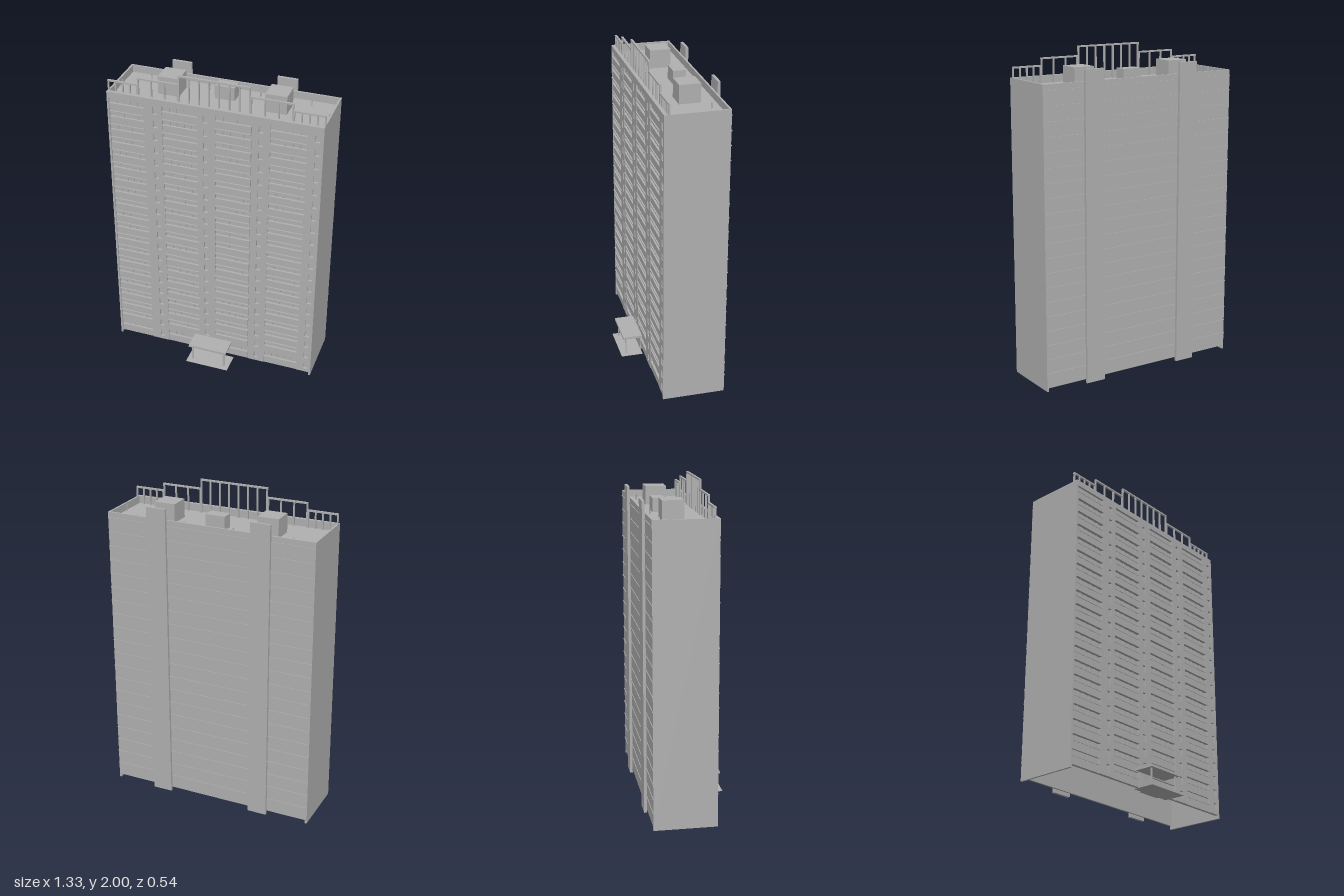
import * as THREE from 'three';

export function createModel() {
  const model = new THREE.Group();
  model.name = 'apartmentBlock';
  const concrete = new THREE.MeshStandardMaterial({ color: 0xb0b0b0 });
  concrete.name = 'concrete grey';

  // Box given by its minimum and maximum on every axis
  function box(name, x0, x1, y0, y1, z0, z1, parent = model) {
    const mesh = new THREE.Mesh(new THREE.BoxGeometry(x1 - x0, y1 - y0, z1 - z0), concrete);
    mesh.position.set((x0 + x1) / 2, (y0 + y1) / 2, (z0 + z1) / 2);
    mesh.name = name;
    parent.add(mesh);
    return mesh;
  }
  function group(name) {
    const g = new THREE.Group();
    g.name = name;
    model.add(g);
    return g;
  }

  const W = 0.665, BACK = -0.253, WALL = 0.118, FRONT = 0.132;
  const BASE = 0.022, TOP = 1.835, ROOF = 1.79, FLOORS = 20, STEP = 0.0888;

  // Hollow shell, open underneath, with a parapet around the sunken roof
  box('leftWall', W - 0.012, W, 0, TOP, BACK, FRONT);
  box('rightWall', -W, -W + 0.012, 0, TOP, BACK, FRONT);
  box('backWall', -W + 0.012, W - 0.012, BASE, TOP, BACK, BACK + 0.012);
  box('frontWall', -W + 0.012, W - 0.012, BASE, TOP, WALL - 0.008, WALL);
  box('roof', -W + 0.012, W - 0.012, ROOF - 0.01, ROOF, BACK + 0.012, WALL - 0.008);
  box('frontParapet', -W + 0.012, W - 0.012, 1.798, TOP, WALL, FRONT);

  // Front piers with a small window recess on every floor
  const piers = group('frontPiers');
  const pierSpans = [[-0.43, -0.315, -0.36], [-0.095, 0.015, -0.045], [0.24, 0.35, 0.295], [0.57, W - 0.012, 0.63]];
  for (const [x0, x1, cx] of pierSpans) {
    const shape = new THREE.Shape([[x0, BASE], [x1, BASE], [x1, 1.798], [x0, 1.798]].map(p => new THREE.Vector2(...p)));
    for (let i = 0; i < FLOORS; i++) {
      const y = BASE + i * STEP + 0.025, a = cx - 0.014, b = cx + 0.014;
      shape.holes.push(new THREE.Path([[a, y], [a, y + 0.045], [b, y + 0.045], [b, y]].map(p => new THREE.Vector2(...p))));
    }
    const mesh = new THREE.Mesh(new THREE.ExtrudeGeometry(shape, { depth: FRONT - WALL, bevelEnabled: false }), concrete);
    mesh.position.z = WALL;
    mesh.name = 'windowPier';
    piers.add(mesh);
  }

  // Balcony bays: slab, solid parapet and a divided window strip
  const balconies = group('balconies');
  for (const x of [-0.65, -0.315, 0.015, 0.35]) {
    for (let i = 0; i < FLOORS; i++) {
      const y = BASE + i * STEP;
      box('balconyPanel', x, x + 0.22, y, y + 0.05, WALL, 0.129, balconies);
      box('balconyRail', x, x + 0.22, y + 0.047, y + 0.053, WALL, 0.132, balconies);
      if (i > 1) box('balconySlab', x, x + 0.22, y - 0.003, y + 0.004, WALL, 0.137, balconies);
      for (let j = 1; j < 5; j++) {
        const mx = x + j * 0.044;
        box('mullion', mx - 0.003, mx + 0.003, y + 0.053, y + STEP - 0.003, WALL, 0.122, balconies);
      }
    }
  }

  // Back: floor ledges and two tall shafts
  const ledges = group('backLedges');
  for (let i = 1; i <= FLOORS; i++) {
    const y = BASE + i * STEP;
    box('floorLedge', -W, W, y - 0.003, y + 0.003, BACK - 0.004, BACK, ledges);
  }
  for (const s of [-1, 1]) box('backShaft', s * 0.333 - 0.0625, s * 0.333 + 0.0625, 0, 1.905, -0.27, BACK);

  // Rooftop housings and vent pipes
  for (const s of [-1, 1]) box('roofHousing', s * 0.333 - 0.066, s * 0.333 + 0.066, ROOF, 1.905, -0.155, -0.025);
  box('centreHousing', -0.062, 0.062, ROOF, 1.875, -0.16, -0.083);
  for (const [x, z] of [[-0.505, -0.185], [-0.158 + 0.03, -0.185], [0.19, -0.185], [0.505, -0.185], [-0.645, -0.06], [0.645, -0.06]]) {
    const pipe = new THREE.Mesh(new THREE.CylinderGeometry(0.004, 0.004, 0.035, 8), concrete);
    pipe.position.set(x, ROOF + 0.0175, z);
    pipe.name = 'ventPipe';
    model.add(pipe);
  }

  // Stepped railing frame along the front of the roof
  const railing = group('roofRailing');
  const railSections = [
    [-W, -0.475, 1.9, 4], [-0.475, -0.22, 1.943, 3], [-0.22, 0.22, 2, 7],
    [0.22, 0.475, 1.943, 3], [0.475, W, 1.9, 4],
  ];
  for (const [x0, x1, top, n] of railSections) {
    box('topRail', x0, x1, top - 0.01, top, 0.095, 0.108, railing);
    for (let i = 0; i <= n; i++) {
      const x = THREE.MathUtils.lerp(x0 + 0.004, x1 - 0.004, i / n);
      box('railPost', x - 0.004, x + 0.004, ROOF, top - 0.01, 0.096, 0.107, railing);
    }
  }

  // Entrance: door, canopy on posts and paved slab
  box('entranceDoor', -0.08, 0.078, 0, 0.09, WALL, FRONT + 0.002);
  box('canopy', -0.127, 0.127, 0.115, 0.13, FRONT, 0.255);
  for (const s of [-1, 1]) box('canopyPost', s * 0.107 - 0.004, s * 0.107 + 0.004, 0, 0.115, 0.23, 0.238);
  box('entrancePaving', -0.142, 0.142, 0, 0.002, FRONT, 0.27);

  return model;
}
